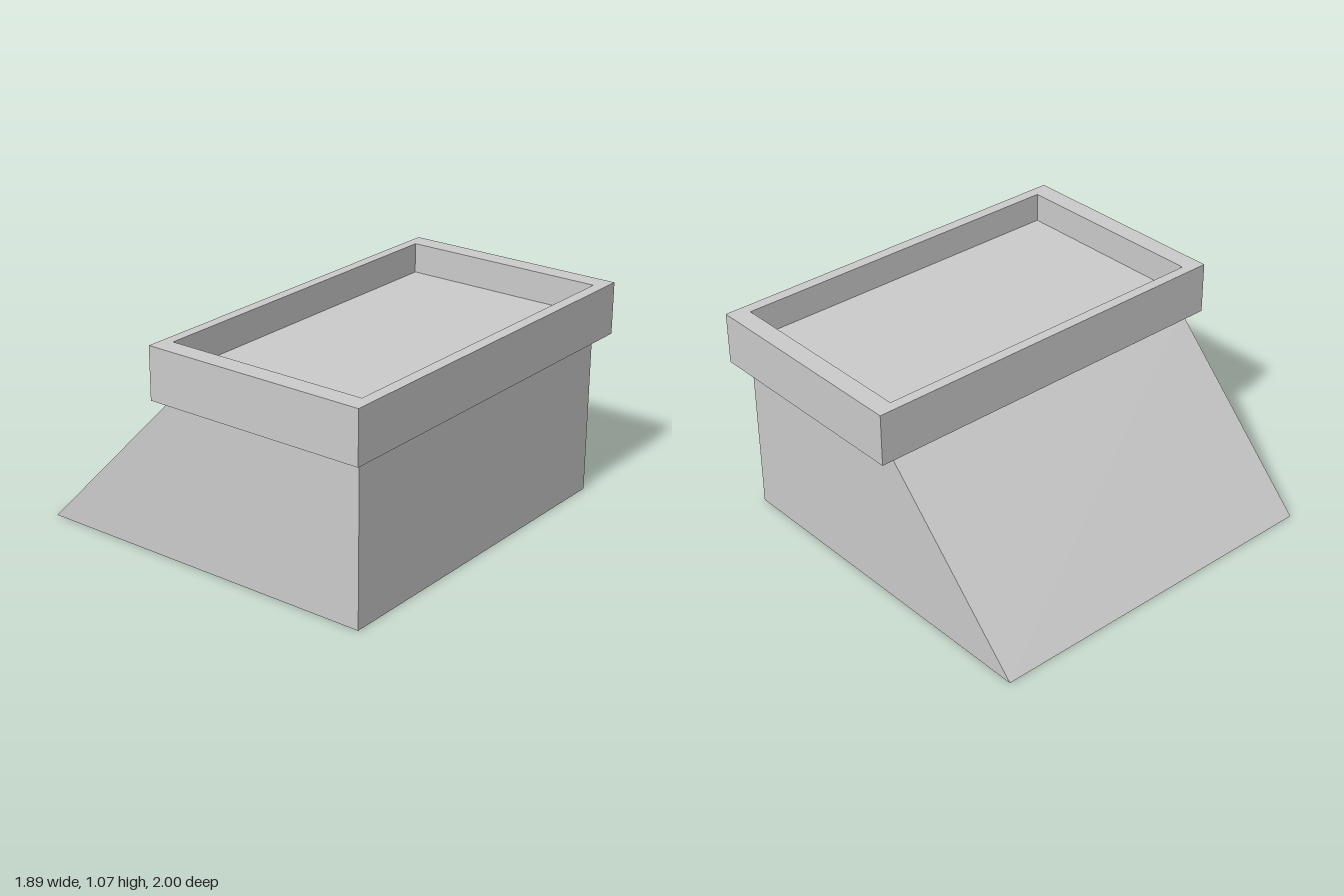
import * as THREE from 'three';

const material = new THREE.MeshStandardMaterial({ color: 0xcccccc, flatShading: true });

// Rectangle outline as a list of corners
const rect = (x0, x1, y0, y1) => [[x0, y0], [x1, y0], [x1, y1], [x0, y1]].map(p => new THREE.Vector2(...p));

function extruded(name, shape, depth) {
  const mesh = new THREE.Mesh(new THREE.ExtrudeGeometry(shape, { depth, bevelEnabled: false }), material);
  mesh.name = name;
  return mesh;
}

export function createModel() {
  const group = new THREE.Group();
  group.name = 'slopedPlanter';

  // Wedge body with one sloped side; its top forms the tray floor inside the rim
  const profile = new THREE.Shape([
    [-0.945, 0], [0.885, 0], [0.885, 0.92], [-0.155, 0.92], [-0.155, 0.81],
  ].map(p => new THREE.Vector2(...p)));
  const body = extruded('slopedBody', profile, 1.834);
  body.position.z = -0.917;

  // Overhanging rectangular rim, open in the middle
  const outline = new THREE.Shape(rect(-0.21, 0.943, -1, 1));
  outline.holes.push(new THREE.Path(rect(-0.157, 0.885, -0.902, 0.902)));
  const rim = extruded('rim', outline, 0.26);
  rim.rotation.x = -Math.PI / 2;
  rim.position.y = 0.81;

  group.add(body, rim);
  return group;
}
